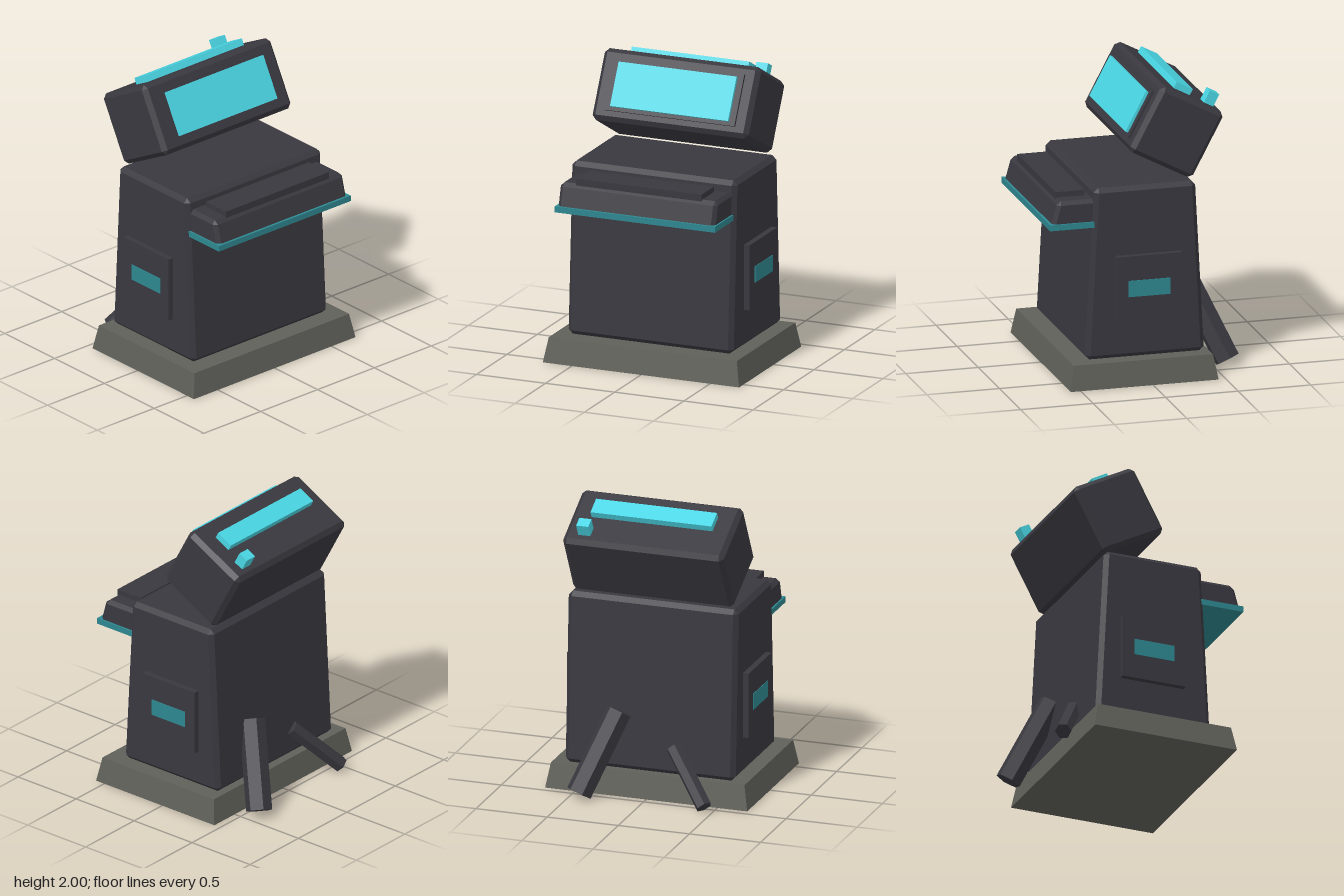
import * as THREE from 'three';
import { ConvexGeometry } from 'three/addons/geometries/ConvexGeometry.js';

const mat = (name, color) => {
  const m = new THREE.MeshStandardMaterial({ color });
  m.name = name;
  return m;
};

const lerp = THREE.MathUtils.lerp;

// Block between y0 and y1 with half width hx and z ranges [back, front] at
// bottom and top; every edge is chamfered by c.
function chamferBlock(hx, y0, y1, zBottom, zTop, c) {
  const points = [];
  for (const sx of [-1, 1]) for (const sy of [-1, 1]) for (const sz of [-1, 1]) {
    for (let axis = 0; axis < 3; axis++) {
      const inset = [c, c, c];
      inset[axis] = 0;
      const x = sx * (hx - inset[0]);
      const y = sy < 0 ? y0 + inset[1] : y1 - inset[1];
      const t = (y - y0) / (y1 - y0);
      const side = sz < 0 ? 0 : 1;
      const z = lerp(zBottom[side], zTop[side], t) - sz * inset[2];
      points.push(new THREE.Vector3(x, y, z));
    }
  }
  return new ConvexGeometry(points);
}

// Plain box given by its ranges
function box(x0, x1, y0, y1, z0, z1) {
  return new THREE.BoxGeometry(x1 - x0, y1 - y0, z1 - z0)
    .translate((x0 + x1) / 2, (y0 + y1) / 2, (z0 + z1) / 2);
}

export function createModel() {
  const charcoal = mat('charcoal', 0x39383f);
  const stone = mat('stone grey', 0x60605a);
  const cyan = mat('bright cyan', 0x4ad6e4);
  const teal = mat('teal', 0x2e8790);

  const model = new THREE.Group();
  model.name = 'console';
  const add = (parent, name, geometry, material) => {
    const mesh = new THREE.Mesh(geometry, material);
    mesh.name = name;
    parent.add(mesh);
    return mesh;
  };

  // Plinth with sloping sides
  const plinth = box(-0.71, 0.71, 0, 0.17, -0.45, 0.57);
  const p = plinth.attributes.position;
  for (let i = 0; i < p.count; i++) {
    if (p.getY(i) < 0.1) continue;
    p.setX(i, p.getX(i) - Math.sign(p.getX(i)) * 0.03);
    p.setZ(i, p.getZ(i) - Math.sign(p.getZ(i)) * 0.03);
  }
  plinth.computeVertexNormals();
  add(model, 'plinth', plinth, stone);

  // Cabinet, narrowing upward from front and back
  add(model, 'cabinet', chamferBlock(0.597, 0.17, 1.35, [-0.39, 0.432], [-0.328, 0.368], 0.03), charcoal);

  // Control shelf
  add(model, 'shelfTrim', box(-0.58, 0.58, 1.082, 1.122, 0.3, 0.672), teal);
  add(model, 'shelf', chamferBlock(0.568, 1.09, 1.273, [0.28, 0.663], [0.28, 0.612], 0.025), charcoal);
  add(model, 'shelfPad', box(-0.455, 0.452, 1.26, 1.31, 0.4, 0.6), charcoal);

  // Side panels with coloured plates
  for (const s of [-1, 1]) {
    const side = s < 0 ? 'right' : 'left';
    add(model, side + 'Panel', box(0.58, 0.638, 0.43, 0.88, -0.22, 0.232).translate(s < 0 ? -1.218 : 0, 0, 0), charcoal);
    add(model, side + 'PanelPlate', box(-0.004, 0.004, 0.6, 0.712, -0.138, 0.15).translate(s * 0.638, 0, 0), teal);
  }

  // Tilted display head
  const head = new THREE.Group();
  head.name = 'head';
  head.position.set(0, 1.682, -0.21);
  head.rotation.x = -0.489;
  model.add(head);
  const h = 0.245;
  add(head, 'headCase', chamferBlock(0.565, -h, h, [-h, h], [-h, h], 0.03), charcoal);
  add(head, 'screenBezel', box(-0.47, 0.47, -0.178, 0.178, 0.23, 0.262), charcoal);
  add(head, 'screen', box(-0.427, 0.427, -0.152, 0.152, 0.25, 0.282), cyan);
  add(head, 'topLightStrip', box(-0.425, 0.425, 0.23, 0.291, -0.01, 0.115), cyan);
  add(head, 'topButton', box(0.38, 0.465, 0.23, 0.334, -0.18, -0.108), cyan);

  // Six-sided struts leaning on the back
  const strut = (name, from, to, radius) => {
    const a = new THREE.Vector3(...from), b = new THREE.Vector3(...to);
    const dir = a.clone().sub(b);
    const geometry = new THREE.CylinderGeometry(radius, radius, dir.length(), 6, 1, false, Math.PI / 6).toNonIndexed();
    geometry.computeVertexNormals();
    const mesh = add(model, name, geometry, charcoal);
    mesh.position.copy(a).add(b).multiplyScalar(0.5);
    mesh.quaternion.setFromUnitVectors(new THREE.Vector3(0, 1, 0), dir.normalize());
  };
  strut('largeStrut', [0.22, 0.57, -0.365], [0.42, 0.044, -0.595], 0.088);
  strut('smallStrut', [-0.17, 0.36, -0.375], [-0.45, 0.04, -0.57], 0.055);

  return model;
}
